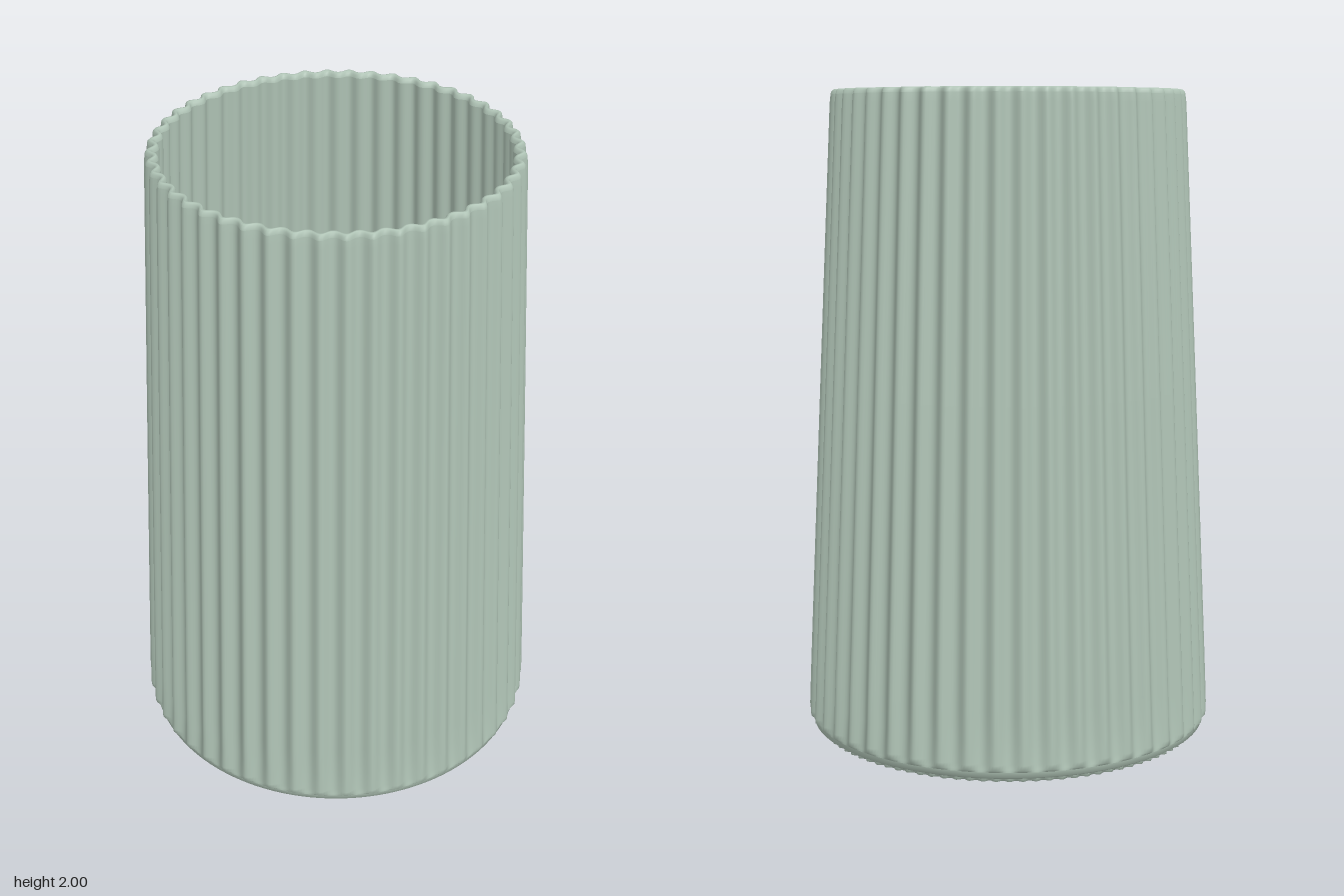
import * as THREE from 'three';

const RIBS = 48, SEG = RIBS * 10;

// Rounded rib wave, 0 in the groove and 1 on the crest
const rib = a => Math.pow(0.5 + 0.5 * Math.cos(a * RIBS), 1.25);
const tooth = a => 0.5 + 0.5 * Math.cos(a * RIBS * 2);

// Ring surface from rows [radius, y, wave depth]; the profile runs up the outside and down the inside
function ringSurface(rows, wave = rib) {
  const pos = [], idx = [];
  for (const [r, y, depth] of rows) {
    for (let i = 0; i < SEG; i++) {
      const a = i / SEG * Math.PI * 2;
      const rad = r + depth * wave(a);
      pos.push(rad * Math.sin(a), y, rad * Math.cos(a));
    }
  }
  for (let j = 0; j < rows.length - 1; j++) {
    for (let i = 0; i < SEG; i++) {
      const n = (i + 1) % SEG;
      const a = j * SEG + i, b = j * SEG + n, c = b + SEG, d = a + SEG;
      idx.push(a, b, c, a, c, d);
    }
  }
  const g = new THREE.BufferGeometry();
  g.setAttribute('position', new THREE.Float32BufferAttribute(pos, 3));
  g.setIndex(idx);
  g.computeVertexNormals();
  return g;
}

export function createModel() {
  const group = new THREE.Group();
  const sage = new THREE.MeshStandardMaterial({ color: 0xafc3b5 });
  sage.name = 'sage green';
  const add = (name, geometry) => {
    const m = new THREE.Mesh(geometry, sage);
    m.name = name;
    group.add(m);
  };

  // Underside and finely toothed foot
  const underside = new THREE.CircleGeometry(0.594, 96);
  underside.rotateX(Math.PI / 2).translate(0, 0.004, 0);
  add('underside', underside);
  add('toothedFoot', ringSurface([
    [0.582, 0.004, 0], [0.586, 0, 0.012], [0.592, 0, 0.012], [0.596, 0.012, 0.01], [0.6, 0.016, 0.004]
  ], tooth));

  // Plain lip between foot and ribs
  add('baseLip', ringSurface([[0.59, 0.012, 0], [0.612, 0.013, 0], [0.623, 0.02, 0], [0.626, 0.036, 0]]));

  // Tapered ribbed outside, with grooves getting shallower near the base
  add('outerWall', ringSurface([
    [0.626, 0.036, 0], [0.625, 0.045, 0.012], [0.621, 0.06, 0.017], [0.614, 0.13, 0.021],
    [0.609, 0.22, 0.022], [0.567, 1.1, 0.022], [0.526, 1.96, 0.021], [0.524, 1.985, 0.02]
  ]));

  // Rounded rim following the ribs
  add('rim', ringSurface([
    [0.524, 1.985, 0.02], [0.522, 1.994, 0.02], [0.517, 2, 0.019],
    [0.511, 2, 0.018], [0.506, 1.994, 0.016], [0.504, 1.985, 0.015]
  ]));

  // Inside wall and floor
  add('innerWall', ringSurface([
    [0.504, 1.985, 0.015], [0.547, 1.1, 0.016], [0.589, 0.22, 0.016], [0.596, 0.04, 0.01]
  ]));
  const floor = new THREE.CircleGeometry(0.606, 96);
  floor.rotateX(-Math.PI / 2).translate(0, 0.04, 0);
  add('floor', floor);

  return group;
}
